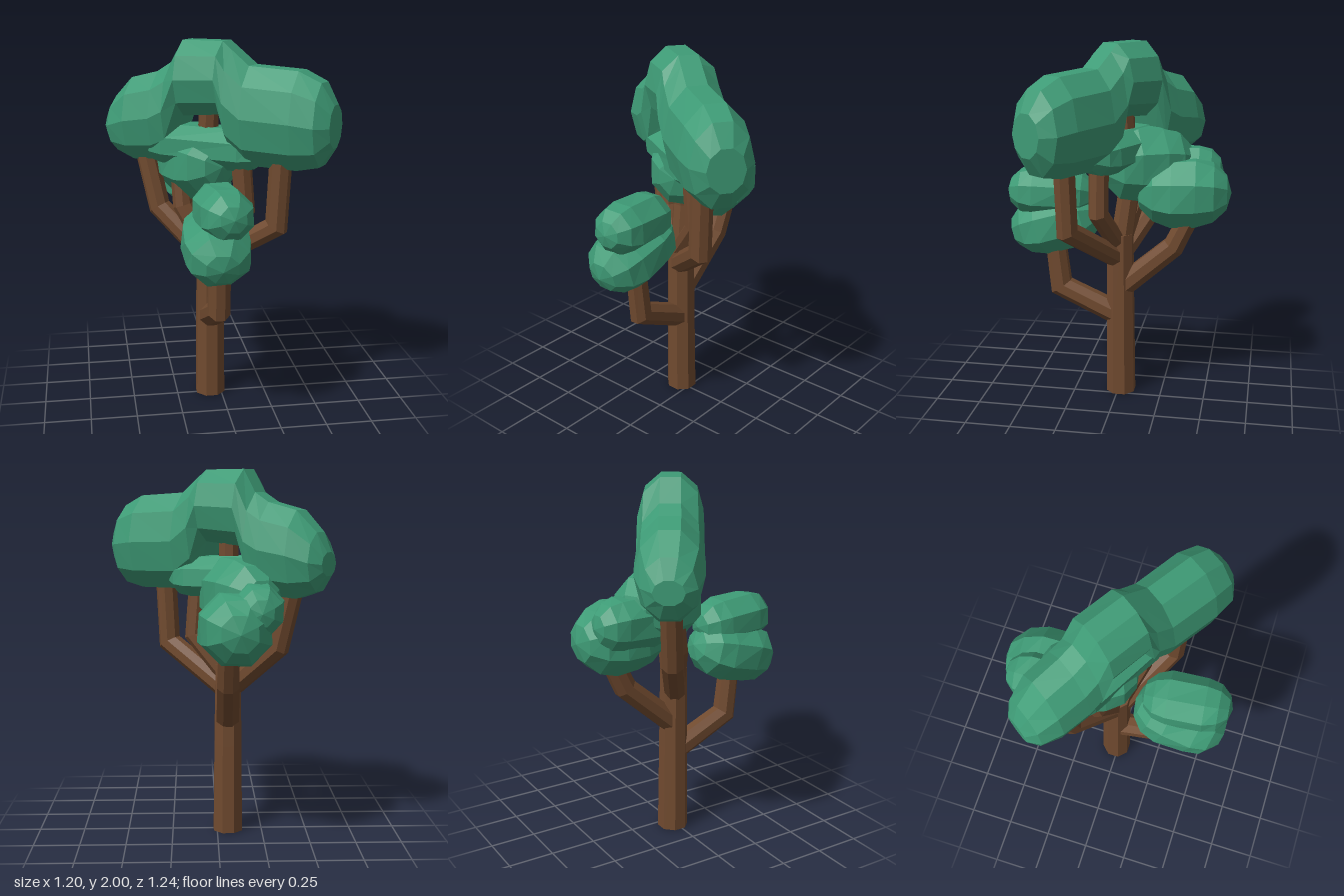
import * as THREE from 'three';

const bark = new THREE.MeshStandardMaterial({ color: 0x704a2f, flatShading: true });
bark.name = 'bark brown';
const leaf = new THREE.MeshStandardMaterial({ color: 0x3e9b76, flatShading: true });
leaf.name = 'leaf green';

const V = (p) => new THREE.Vector3(...p);

// Skin over a list of rings (equal numbers of points), closed at both ends.
function skin(name, rings, material) {
  const sides = rings[0].length;
  const last = rings.length - 1;
  const at = (i, s) => i * sides + (s % sides);
  const index = [];
  for (let s = 0; s < sides; s++) {
    for (let i = 0; i < last; i++) {
      index.push(at(i, s), at(i, s + 1), at(i + 1, s + 1), at(i, s), at(i + 1, s + 1), at(i + 1, s));
    }
    if (s > 0 && s < sides - 1) {
      index.push(at(0, 0), at(0, s + 1), at(0, s), at(last, 0), at(last, s), at(last, s + 1));
    }
  }
  const geo = new THREE.BufferGeometry().setFromPoints(rings.flat());
  geo.setIndex(index);
  geo.computeVertexNormals();
  const mesh = new THREE.Mesh(geo, material);
  mesh.name = name;
  return mesh;
}

// Faceted limb through a few points, with mitred bends.
function limb(name, points, radius, tip = radius, sides = 8) {
  const pts = points.map(V);
  const dirs = pts.slice(1).map((p, i) => p.clone().sub(pts[i]).normalize());
  const last = pts.length - 1;
  const ref = Math.abs(dirs[0].y) > 0.95 ? new THREE.Vector3(0, 0, 1) : new THREE.Vector3(0, 1, 0);
  const u = new THREE.Vector3().crossVectors(ref, dirs[0]).normalize();
  const w = new THREE.Vector3().crossVectors(dirs[0], u);
  const rings = pts.map(() => []);
  for (let s = 0; s < sides; s++) {
    const a = ((s + 0.5) / sides) * Math.PI * 2;
    const v = pts[0].clone().addScaledVector(u, Math.cos(a) * radius).addScaledVector(w, Math.sin(a) * radius);
    for (let i = 0; i <= last; i++) {
      if (i > 0) {
        // slide along the segment until the bend plane is met
        const n = dirs[i - 1].clone();
        if (i < last) n.add(dirs[i]).normalize();
        v.addScaledVector(dirs[i - 1], pts[i].clone().sub(v).dot(n) / dirs[i - 1].dot(n));
      }
      const k = 1 + (tip / radius - 1) * (i / last);
      rings[i].push(pts[i].clone().lerp(v, k));
    }
  }
  return skin(name, rings, bark);
}

// Faceted leaf clump: a capsule from a to b with its own half width and half height.
function clump(name, a, b, halfWidth, halfHeight, sides = 8) {
  const A = V(a);
  const B = V(b);
  const geo = new THREE.CapsuleGeometry(halfWidth * 1.04, A.distanceTo(B), 3, sides, 1);
  geo.rotateY(Math.PI / sides);
  geo.rotateX(Math.PI / 2);
  geo.scale(1, halfHeight / halfWidth, 1);
  // slight unevenness, the same for coincident points
  const p = geo.attributes.position;
  for (let i = 0; i < p.count; i++) {
    const x = p.getX(i), y = p.getY(i), z = p.getZ(i);
    const k = 1 + 0.03 * Math.sin(x * 31 + y * 23 + z * 17 + a[0] * 40);
    p.setXYZ(i, x * k, y * k, z);
  }
  geo.computeVertexNormals();
  const mesh = new THREE.Mesh(geo, leaf);
  mesh.name = name;
  mesh.position.copy(A).add(B).multiplyScalar(0.5);
  mesh.lookAt(B);
  return mesh;
}

// Long arched crown: upright sections set along a diagonal line.
function crown() {
  const sections = [ // distance along the line, bottom, top, half width
    [-0.66, 1.46, 1.58, 0.08],
    [-0.61, 1.38, 1.68, 0.14],
    [-0.5, 1.34, 1.79, 0.175],
    [-0.34, 1.35, 1.83, 0.18],
    [-0.26, 1.38, 1.88, 0.175],
    [-0.19, 1.6, 2.0, 0.17],
    [0.04, 1.62, 2.0, 0.17],
    [0.09, 1.43, 1.96, 0.175],
    [0.19, 1.36, 1.88, 0.18],
    [0.46, 1.355, 1.865, 0.185],
    [0.58, 1.38, 1.81, 0.165],
    [0.645, 1.48, 1.7, 0.1],
  ];
  const sides = 10;
  const rings = sections.map(([t, bottom, top, half]) => {
    const ring = [];
    for (let s = 0; s < sides; s++) {
      const a = ((s + 0.5) / sides) * Math.PI * 2;
      const n = 0.01 - 0.03 * t + Math.sin(a) * half;
      const y = (top + bottom) / 2 + (Math.cos(a) / Math.cos(Math.PI / sides)) * (top - bottom) / 2;
      ring.push(new THREE.Vector3(0.82 * t - 0.57 * n, y, 0.57 * t + 0.82 * n));
    }
    return ring;
  });
  return skin('crown', rings, leaf);
}

export function createModel() {
  const tree = new THREE.Group();
  tree.name = 'tree';

  const wood = new THREE.Group();
  wood.name = 'wood';
  wood.add(
    limb('trunk', [[-0.06, 0, -0.015], [-0.06, 0.5, -0.012], [-0.06, 0.95, -0.01]], 0.086, 0.075),
    limb('centreBranch', [[-0.06, 0.85, -0.01], [-0.07, 1.15, -0.05], [-0.06, 1.66, -0.03]], 0.065, 0.055),
    limb('frontBranch', [[-0.06, 0.46, -0.02], [-0.06, 0.62, 0.33], [-0.06, 0.97, 0.37]], 0.068, 0.058),
    limb('backBranch', [[-0.06, 0.61, 0.01], [-0.05, 0.89, -0.31], [-0.05, 1.12, -0.42]], 0.068, 0.058),
    limb('leftBranch', [[-0.06, 0.8, 0], [0.265, 1.04, 0.22], [0.285, 1.46, 0.23]], 0.06),
    limb('innerLeftBranch', [[-0.06, 0.88, 0], [0.12, 1.1, 0.08], [0.09, 1.5, 0.08]], 0.055),
    limb('rightBranch', [[-0.06, 0.8, 0], [-0.32, 1.07, -0.18], [-0.4, 1.45, -0.24]], 0.06),
    limb('innerRightBranch', [[-0.06, 0.84, 0], [-0.2, 1.1, -0.07], [-0.21, 1.3, -0.1]], 0.055),
  );

  const leaves = new THREE.Group();
  leaves.name = 'leaves';
  leaves.add(
    crown(),
    // closes the arch below its gap
    clump('crownBridge', [-0.26, 1.44, -0.15], [0.12, 1.43, 0.06], 0.14, 0.115),
    // lower clumps
    clump('middleClump', [-0.15, 1.34, -0.21], [-0.09, 1.34, -0.08], 0.19, 0.205),
    clump('backClump', [-0.085, 1.195, -0.42], [-0.075, 1.195, -0.29], 0.19, 0.19),
    clump('backClumpTop', [-0.2, 1.29, -0.43], [-0.19, 1.29, -0.25], 0.13, 0.14),
    clump('frontClump', [-0.08, 1.02, 0.28], [-0.08, 0.975, 0.44], 0.175, 0.165),
    clump('frontClumpTop', [-0.06, 1.17, 0.28], [-0.04, 1.18, 0.475], 0.14, 0.135),
  );

  tree.add(wood, leaves);
  return tree;
}
